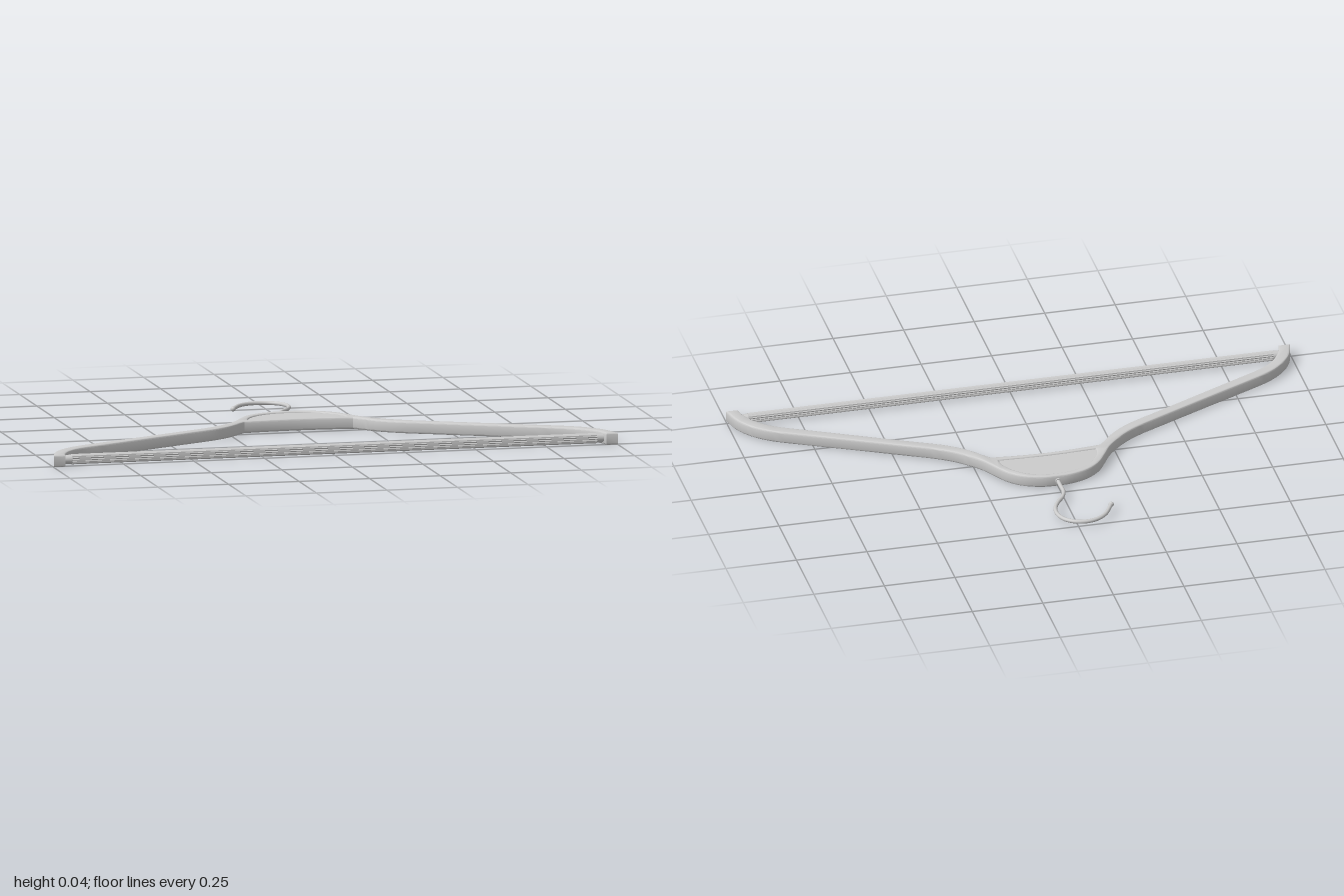
import * as THREE from 'three';
import { mergeVertices, toCreasedNormals } from 'three/addons/utils/BufferGeometryUtils.js';

const HEIGHT = 0.042, MID = HEIGHT / 2;
const material = new THREE.MeshStandardMaterial({ color: 0xcccccc });

function addMesh(parent, name, geometry) {
  const mesh = new THREE.Mesh(geometry, material);
  mesh.name = name;
  parent.add(mesh);
  return mesh;
}

const toVectors = (points) => points.map(([x, z]) => new THREE.Vector2(x, z));
const mirrored = (points) => points.map(([x, z]) => [-x, z]).reverse();
const smooth = (points, steps) =>
  new THREE.SplineCurve(toVectors(points)).getPoints(steps);

// Extrudes a plan drawn in x/z between two heights, with rounded rims
function slab(shape, bottom, top, bevel) {
  const geometry = new THREE.ExtrudeGeometry(shape, {
    depth: top - bottom - 2 * bevel, curveSegments: 8,
    bevelEnabled: bevel > 0, bevelThickness: bevel, bevelSize: bevel,
    bevelOffset: -bevel, bevelSegments: 3,
  });
  geometry.rotateX(Math.PI / 2);
  geometry.translate(0, top - bevel, 0);
  return toCreasedNormals(geometry, 0.6);
}

// Half outlines, listed from the centre line or yoke out to the shoulder tip
const outer = [[0.05, -0.202], [0.11, -0.182], [0.16, -0.143], [0.195, -0.09], [0.225, -0.04],
  [0.265, 0.005], [0.31, 0.045], [0.37, 0.083], [0.45, 0.123], [0.62, 0.207], [0.78, 0.285],
  [0.865, 0.328], [0.915, 0.362], [0.955, 0.404], [0.983, 0.452], [1, 0.514]];
const inner = [[0.192, -0.022], [0.215, 0.002], [0.24, 0.032], [0.275, 0.066], [0.32, 0.098],
  [0.37, 0.125], [0.44, 0.159], [0.62, 0.249], [0.77, 0.324], [0.845, 0.362], [0.89, 0.393],
  [0.925, 0.432], [0.947, 0.474], [0.958, 0.514]];
const recess = [[0.172, -0.046], [0.165, -0.085], [0.135, -0.132], [0.095, -0.163], [0.05, -0.18]];

function frameShape() {
  const top = smooth([...mirrored(outer), [0, -0.205], ...outer].filter(Boolean), 110);
  const right = smooth([...inner].reverse(), 48);
  const under = smooth([[0.192, -0.022], [0.1, -0.031], [0, -0.035], [-0.1, -0.031], [-0.192, -0.022]], 16);
  const left = smooth(mirrored(inner).reverse(), 48);
  return new THREE.Shape([...top, ...right, ...under.slice(1, -1), ...left]);
}

function recessOutline() {
  const arch = smooth([...recess, [0, -0.185], ...mirrored(recess)], 36);
  const base = smooth([[-0.172, -0.046], [0, -0.052], [0.172, -0.046]], 10);
  return [...arch, ...base.slice(1, -1)];
}

// Trouser bar: lengthwise ribs around a round core
function ribbedBar(length, radius) {
  const ribs = 16, points = [];
  for (let i = 0; i < ribs * 4; i++) {
    const angle = (i / (ribs * 4)) * Math.PI * 2;
    const r = radius - 0.0012 + 0.0012 * Math.cos(angle * ribs);
    points.push(new THREE.Vector2(r * Math.cos(angle), r * Math.sin(angle)));
  }
  const geometry = new THREE.ExtrudeGeometry(new THREE.Shape(points), { depth: length, bevelEnabled: false });
  geometry.translate(0, 0, -length / 2);
  geometry.rotateY(Math.PI / 2);
  return toCreasedNormals(geometry, 1);
}

export function createModel() {
  const hanger = new THREE.Group();
  hanger.name = 'coatHanger';

  // Shoulder frame with its yoke
  const shape = frameShape();
  shape.holes.push(new THREE.Path(recessOutline()));
  addMesh(hanger, 'shoulderFrame', slab(shape, 0, HEIGHT, 0.006));

  // Yoke panel, slightly sunk below the rim
  const panel = new THREE.Shape(recessOutline().map((p) =>
    new THREE.Vector2(p.x * 1.04, -0.11 + (p.y + 0.11) * 1.08)));
  addMesh(hanger, 'yokePanel', slab(panel, 0.001, 0.037, 0));

  // Trouser bar and its narrower end pins
  const bar = new THREE.Group();
  bar.name = 'trouserBar';
  bar.position.set(0, MID, 0.483);
  hanger.add(bar);
  addMesh(bar, 'ribbedRod', ribbedBar(1.86, 0.018));
  for (const side of [-1, 1]) {
    const pin = new THREE.CylinderGeometry(0.0135, 0.0165, 0.045, 24);
    pin.rotateZ(-side * Math.PI / 2);
    addMesh(bar, 'endPin', pin).position.x = side * 0.9515;
  }

  // Wire hook
  const wire = 0.007;
  const path = new THREE.CatmullRomCurve3([
    [0, -0.19], [0, -0.24], [0, -0.285], [0.012, -0.318], [0.035, -0.35], [0.054, -0.388],
    [0.059, -0.43], [0.045, -0.472], [0.012, -0.5], [-0.03, -0.508], [-0.07, -0.498],
    [-0.102, -0.472], [-0.122, -0.44], [-0.138, -0.41],
  ].map(([x, z]) => new THREE.Vector3(x, MID, z)));
  addMesh(hanger, 'hook', mergeVertices(new THREE.TubeGeometry(path, 90, wire, 12)));
  addMesh(hanger, 'hookTip', new THREE.SphereGeometry(0.009, 16, 12)).position.set(-0.138, MID, -0.41);

  // Collar where the hook enters the yoke
  const collar = new THREE.CylinderGeometry(0.0105, 0.0105, 0.02, 20);
  collar.rotateX(Math.PI / 2);
  addMesh(hanger, 'hookCollar', collar).position.set(0, MID, -0.2);

  return hanger;
}
